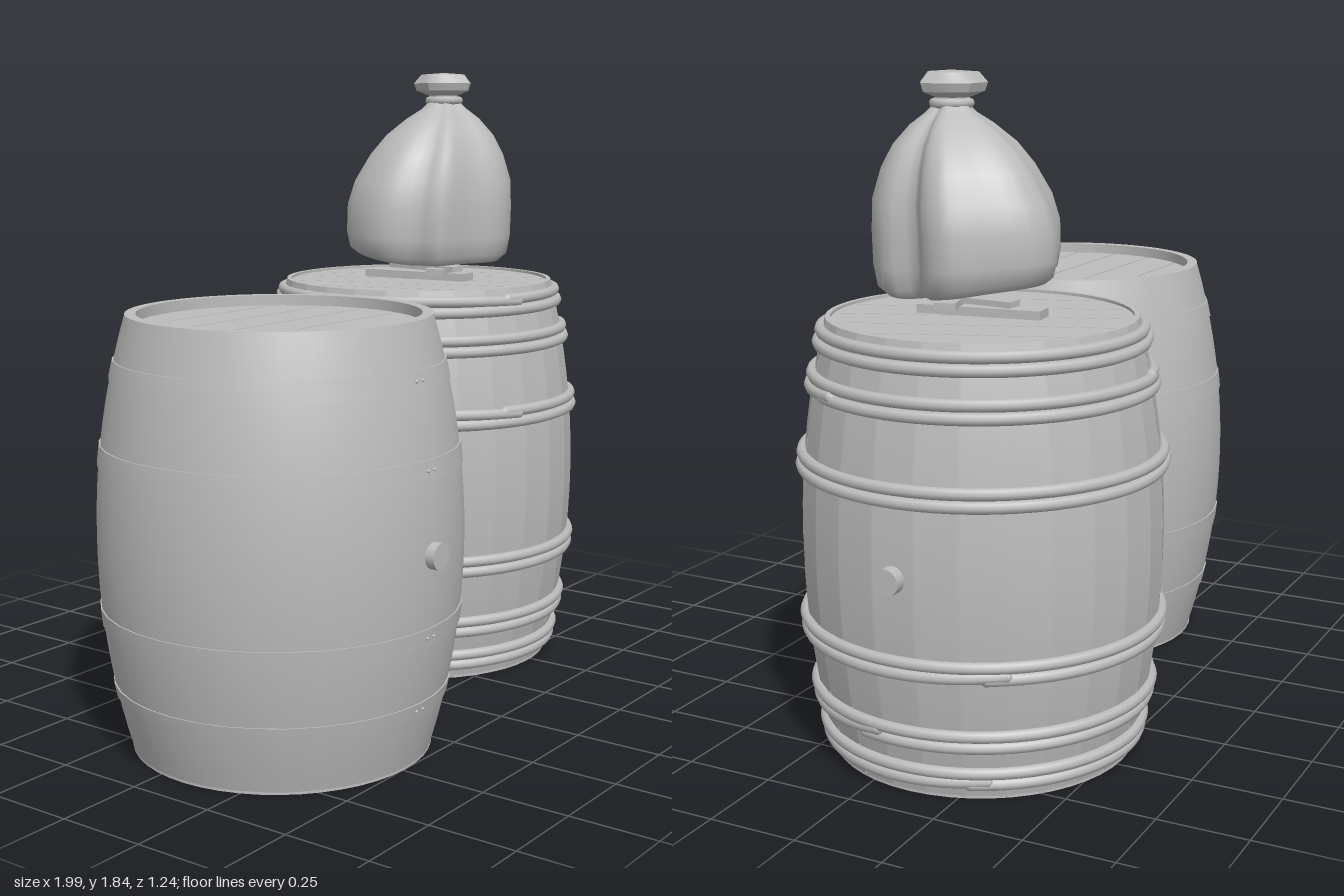
import * as THREE from 'three';
import { toCreasedNormals } from 'three/addons/utils/BufferGeometryUtils.js';

const grey = new THREE.MeshStandardMaterial({ color: 0xbcbcbc, side: THREE.DoubleSide });
grey.name = 'plain grey';

function add(parent, geometry, name, x = 0, y = 0, z = 0) {
  const mesh = new THREE.Mesh(geometry, grey);
  mesh.name = name;
  mesh.position.set(x, y, z);
  parent.add(mesh);
  return mesh;
}

const V2 = (x, y) => new THREE.Vector2(x, y);

// Belly curve of a barrel standing from y = 0.01 to 1.2
const belly = (max, drop) => (y) => max - drop * ((y - 0.605) / 0.595) ** 2;

function profile(radius, y0, y1, steps, offset = 0) {
  return Array.from({ length: steps + 1 }, (_, i) => {
    const y = y0 + (y1 - y0) * i / steps;
    return V2(radius(y) + offset, y);
  });
}

// Round lid of parallel planks with narrow gaps, top face at y
function plankLid(parent, name, R, y, angle, up) {
  const lid = new THREE.Group();
  lid.name = name;
  lid.rotation.y = angle;
  lid.position.y = y;
  const count = 6, w = 2 * R / count, gap = 0.0025, t = 0.012;
  for (let k = 0; k < count; k++) {
    const a = -R + k * w + (k ? gap : 0), b = -R + (k + 1) * w - (k < count - 1 ? gap : 0);
    const left = [], right = [];
    for (let i = 0; i <= 8; i++) {
      const v = a + (b - a) * i / 8, h = Math.sqrt(Math.max(0, R * R - v * v));
      right.push(V2(h, v));
      left.unshift(V2(-h, v));
    }
    const geo = new THREE.ExtrudeGeometry(new THREE.Shape([...right, ...left]), { depth: t, bevelEnabled: false });
    geo.rotateX(-Math.PI / 2);
    add(lid, geo, 'lidPlank', 0, up ? -t : 0, 0);
  }
  add(lid, new THREE.CylinderGeometry(R, R, 0.004, 48), 'lidBacking', 0, up ? -t : t, 0);
  parent.add(lid);
}

// Rims at both ends, lids and bung shared by the two barrels
function ends(barrel, outer, inner, depth, angle, bottomDepth) {
  const top = [V2(outer, 1.2), V2(inner, 1.2), V2(inner, 1.2 - depth - 0.015)];
  const bottom = [V2(inner, 0.015 + bottomDepth + 0.01), V2(inner, 0.005), V2(outer, 0.005), V2(outer, 0.012)];
  add(barrel, toCreasedNormals(new THREE.LatheGeometry(top, 48), 0.6), 'topRim');
  add(barrel, toCreasedNormals(new THREE.LatheGeometry(bottom, 48), 0.6), 'bottomRim');
  plankLid(barrel, 'topLid', inner, 1.2 - depth, angle, true);
  plankLid(barrel, 'bottomLid', inner, 0.005 + bottomDepth, angle, false);
}

function bung(barrel, reach) {
  const plug = add(barrel, new THREE.CylinderGeometry(0.036, 0.036, 0.06, 20), 'bung', 0, 0.605, reach - 0.03);
  plug.rotation.x = Math.PI / 2;
}

// Barrel with smooth staves and flush flat bands
function smoothBarrel() {
  const barrel = new THREE.Group();
  barrel.name = 'smoothBarrel';
  const r = belly(0.501, 0.088);
  add(barrel, new THREE.LatheGeometry(profile(r, 0.005, 1.2, 20), 36), 'staves');
  for (const [y0, y1] of [[0.16, 0.2], [0.36, 0.41], [0.8, 0.855], [1.03, 1.08]]) {
    const band = [V2(r(y0), y0), ...profile(r, y0, y1, 2, 0.004), V2(r(y1), y1)];
    add(barrel, toCreasedNormals(new THREE.LatheGeometry(band, 36), 0.6), 'band');
    for (const x of [-0.014, 0.014]) {
      const y = (y0 + y1) / 2;
      add(barrel, new THREE.SphereGeometry(0.005, 8, 6), 'rivet', x, y, r(y) + 0.003);
    }
  }
  ends(barrel, 0.414, 0.384, 0.03, 0, 0.03);
  bung(barrel, 0.525);
  return barrel;
}

// Round hoop whose two ends overlap side by side at the given angle
function hoop(barrel, r, y, angle, drift) {
  const points = [];
  for (let i = 0; i <= 50; i++) {
    const t = i / 50, a = angle + t * (Math.PI * 2 + 0.1);
    const lift = drift * Math.max(0, (t - 0.88) / 0.12) ** 2;
    const R = r(y) + 0.004 + Math.abs(lift) * 0.3;
    points.push(new THREE.Vector3(Math.sin(a) * R, y + lift, Math.cos(a) * R));
  }
  add(barrel, new THREE.TubeGeometry(new THREE.CatmullRomCurve3(points), 72, 0.0165, 8), 'hoop');
  for (const p of [points[0], points[50]]) {
    add(barrel, new THREE.SphereGeometry(0.0165, 8, 6), 'hoopEnd', p.x, p.y, p.z);
  }
}

// Barrel with separate flat staves and paired round hoops
function hoopedBarrel() {
  const barrel = new THREE.Group();
  barrel.name = 'hoopedBarrel';
  const r = belly(0.494, 0.075);
  add(barrel, new THREE.LatheGeometry(profile(r, 0.005, 1.2, 16, -0.012), 48), 'barrelCore');
  const count = 26, step = Math.PI * 2 / count;
  for (let i = 0; i < count; i++) {
    const geo = new THREE.LatheGeometry(profile(r, 0.005, 1.2, 16), 1, (i - 0.5) * step + 0.006, step - 0.012);
    geo.computeVertexNormals();
    add(barrel, geo, 'stave');
  }
  const pairs = [[0.05, 0.4], [0.16, -0.25], [0.355, 0.5], [0.805, 1.9], [1.02, -0.6], [1.135, 2]];
  pairs.forEach(([y, angle], i) => {
    hoop(barrel, r, y, angle, i === 1 ? 0.02 : 0.01);
    hoop(barrel, r, y + 0.033, angle + 2.4, -0.008);
  });
  ends(barrel, 0.419, 0.405, 0.008, 0.35, 0.004);
  bung(barrel, 0.524);
  barrel.children.at(-1).name = 'sideBung';
  return barrel;
}

// Lumpy sack built from lobed rings, drawn together at the neck
function sack() {
  const group = new THREE.Group();
  group.name = 'sack';
  const outline = [[0.68, -0.04], [0.69, 0.05], [0.62, 0.13], [0.51, 0.165], [0.4, 0.12], [0.27, 0.09], [0.255, 0.03],
    [0.2, -0.05], [0.195, -0.13], [0.25, -0.24], [0.36, -0.27], [0.45, -0.3], [0.54, -0.37], [0.63, -0.35], [0.7, -0.26],
    [0.765, -0.18], [0.75, -0.1]].map(([x, z]) => new THREE.Vector3(x, 0, z));
  const ring = new THREE.CatmullRomCurve3(outline, true).getPoints(48).slice(0, 48);
  // height, size, drift towards the neck, tilt of the ring
  const levels = [[1.255, 0, 0, 0.14], [1.255, 0.5, 0, 0.14], [1.262, 0.86, 0, 0.14], [1.285, 0.96, 0, 0.12],
    [1.34, 1, 0, 0.08], [1.43, 1, 0.05, 0.04], [1.51, 0.95, 0.25, 0], [1.59, 0.81, 0.5, 0], [1.65, 0.65, 0.7, 0],
    [1.70, 0.44, 0.9, 0], [1.73, 0.27, 1, 0], [1.75, 0.19, 1, 0]];
  const n = ring.length, pos = [], index = [];
  levels.forEach(([y, s, k, tilt], j) => {
    const cx = 0.48 + 0.03 * k, cz = -0.09 + 0.04 * k;
    ring.forEach((p, i) => {
      const dx = (p.x - 0.48) * s, dz = (p.z + 0.09) * s;
      pos.push(cx + dx, y + Math.max(-0.005, -tilt * (dz - 0.05)), cz + dz);
      if (j) {
        const a = (j - 1) * n + i, b = (j - 1) * n + (i + 1) % n;
        index.push(a, a + n, b, b, a + n, b + n);
      }
    });
  });
  const geo = new THREE.BufferGeometry();
  geo.setAttribute('position', new THREE.Float32BufferAttribute(pos, 3));
  geo.setIndex(index);
  geo.computeVertexNormals();
  add(group, geo, 'sackBody');

  // Tie and gathered top
  const tie = add(group, new THREE.TorusGeometry(0.047, 0.013, 8, 16), 'tie', 0.51, 1.755, -0.05);
  tie.rotation.x = Math.PI / 2;
  const ruff = new THREE.LatheGeometry([V2(0.045, 1.74), V2(0.047, 1.77), V2(0.085, 1.785), V2(0.093, 1.808),
    V2(0.07, 1.835), V2(0, 1.84)], 12);
  const p = ruff.attributes.position;
  for (let i = 0; i < p.count; i++) {
    const a = Math.atan2(p.getX(i), p.getZ(i)), f = 0.94 + 0.08 * Math.cos(5 * a + 0.6);
    p.setX(i, p.getX(i) * f);
    p.setZ(i, p.getZ(i) * f);
  }
  add(group, toCreasedNormals(ruff, 0.7), 'gatheredTop', 0.51, 0, -0.05);
  return group;
}

export function createModel() {
  const model = new THREE.Group();
  model.name = 'barrelsAndSack';

  const first = smoothBarrel();
  first.position.set(-0.492, 0, 0.087);
  const second = hoopedBarrel();
  second.rotation.y = Math.PI / 2;
  second.position.set(0.471, 0, -0.117);

  // Small wooden slats lying between lid and sack
  const slats = new THREE.Group();
  slats.name = 'slats';
  add(slats, new THREE.BoxGeometry(0.07, 0.024, 0.35), 'longSlat', 0.47, 1.208, -0.115).rotation.y = 0.12;
  add(slats, new THREE.BoxGeometry(0.17, 0.02, 0.06), 'crossSlat', 0.48, 1.226, -0.03).rotation.y = 0.25;
  add(slats, new THREE.BoxGeometry(0.05, 0.016, 0.26), 'upperSlat', 0.47, 1.234, -0.09).rotation.y = -0.1;

  model.add(first, second, slats, sack());
  return model;
}
